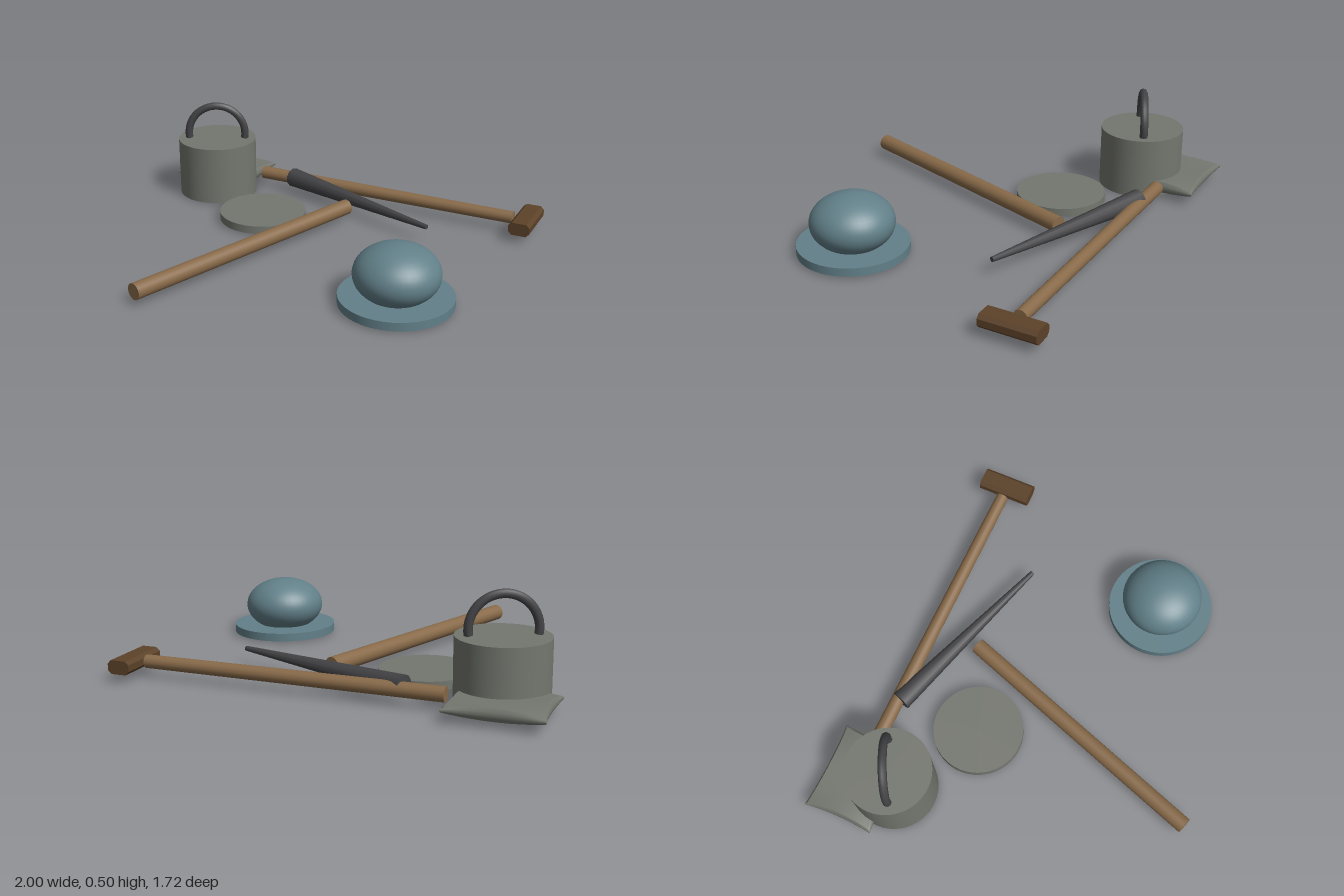
import * as THREE from 'three';

const mat = (name, color) => Object.assign(new THREE.MeshStandardMaterial({ color }), { name });

// Closed cushion-like plate: a box grid thinned and pinched toward its corners
function bladeGeometry(w, h, d) {
  const geo = new THREE.BoxGeometry(2, 2, 2, 12, 4, 12);
  const p = geo.attributes.position;
  for (let i = 0; i < p.count; i++) {
    const u = p.getX(i), v = p.getY(i), t = p.getZ(i);
    const corner = u * u * t * t;
    const thick = (h / 2) * (1 - 0.6 * corner);
    const round = 0.012 * v * v;
    const bowU = 0.012 * (1 - t * t), bowT = 0.012 * (1 - u * u);
    p.setXYZ(i, u * (w / 2 - round - bowU), v * thick, t * (d / 2 - round - bowT));
  }
  geo.computeVertexNormals();
  return geo;
}

export function createModel() {
  const model = new THREE.Group();
  const steel = mat('grey steel', 0x74776f);
  const iron = mat('dark iron', 0x444447);
  const wood = mat('wood', 0x886a49);
  const darkWood = mat('dark wood', 0x5c4229);
  const blue = mat('blue grey', 0x628089);

  const add = (name, geo, material, x = 0, y = 0, z = 0, ry = 0, parent = model) => {
    const mesh = new THREE.Mesh(geo, material);
    mesh.name = name;
    mesh.position.set(x, y, z);
    mesh.rotation.y = ry;
    parent.add(mesh);
    return mesh;
  };

  // Round bar from a to b, with its own radius at each end
  const bar = (name, a, b, ra, rb, sides, material) => {
    const from = new THREE.Vector3(...a), to = new THREE.Vector3(...b);
    const dir = to.clone().sub(from);
    const mesh = add(name, new THREE.CylinderGeometry(rb, ra, dir.length(), sides), material);
    mesh.position.copy(from).add(to).multiplyScalar(0.5);
    mesh.quaternion.setFromUnitVectors(new THREE.Vector3(0, 1, 0), dir.normalize());
    return mesh;
  };

  // Pot with an arched handle
  add('pot', new THREE.CylinderGeometry(0.206, 0.206, 0.3, 48), steel, -0.74, 0.15, -0.51);
  const over = 0.17;
  const arch = new THREE.TorusGeometry(0.15, 0.02, 8, 28, Math.PI + 2 * over);
  arch.rotateZ(-over);
  add('potHandle', arch, iron, -0.74, 0.326, -0.508, 0.41);

  // Loose lid
  add('lid', new THREE.CylinderGeometry(0.219, 0.219, 0.04, 48), steel, -0.34, 0.03, -0.243);

  // Hat
  const hat = new THREE.Group();
  hat.name = 'hat';
  hat.position.set(0.602, 0, 0.363);
  model.add(hat);
  add('hatBrim', new THREE.CylinderGeometry(0.259, 0.259, 0.04, 48), blue, 0, 0.03, 0, 0, hat);
  const crown = new THREE.SphereGeometry(0.196, 40, 24);
  crown.scale(1, 0.69, 1);
  add('hatCrown', crown, blue, 0, 0.15, 0, 0, hat);

  // Shovel: shaft, blade and cross grip
  bar('shovelShaft', [-0.54, 0.073, -0.672], [0.872, 0.073, -0.612], 0.034, 0.031, 20, wood);
  add('shovelBlade', bladeGeometry(0.43, 0.056, 0.345), steel, -0.778, 0.059, -0.683, -0.045);
  const w = 0.053, h = 0.032, c = 0.017;
  const grip = new THREE.Shape([
    [-w + c, -h], [w - c, -h], [w, -h + c], [w, h - c],
    [w - c, h], [-w + c, h], [-w, h - c], [-w, -h + c],
  ].map(([x, y]) => new THREE.Vector2(x, y)));
  const gripGeo = new THREE.ExtrudeGeometry(grip, { depth: 0.266, bevelEnabled: false });
  gripGeo.translate(0, 0, -0.133);
  add('shovelGrip', gripGeo, darkWood, 0.937, 0.071, -0.611, -0.04);

  // Plain wooden pole
  bar('pole', [-0.43, 0.07, 0.845], [0.055, 0.07, -0.408], 0.039, 0.039, 24, wood);

  // Tapered iron spike
  bar('spike', [-0.353, 0.083, -0.645], [0.52, 0.083, -0.302], 0.05, 0.012, 10, iron);

  return model;
}
